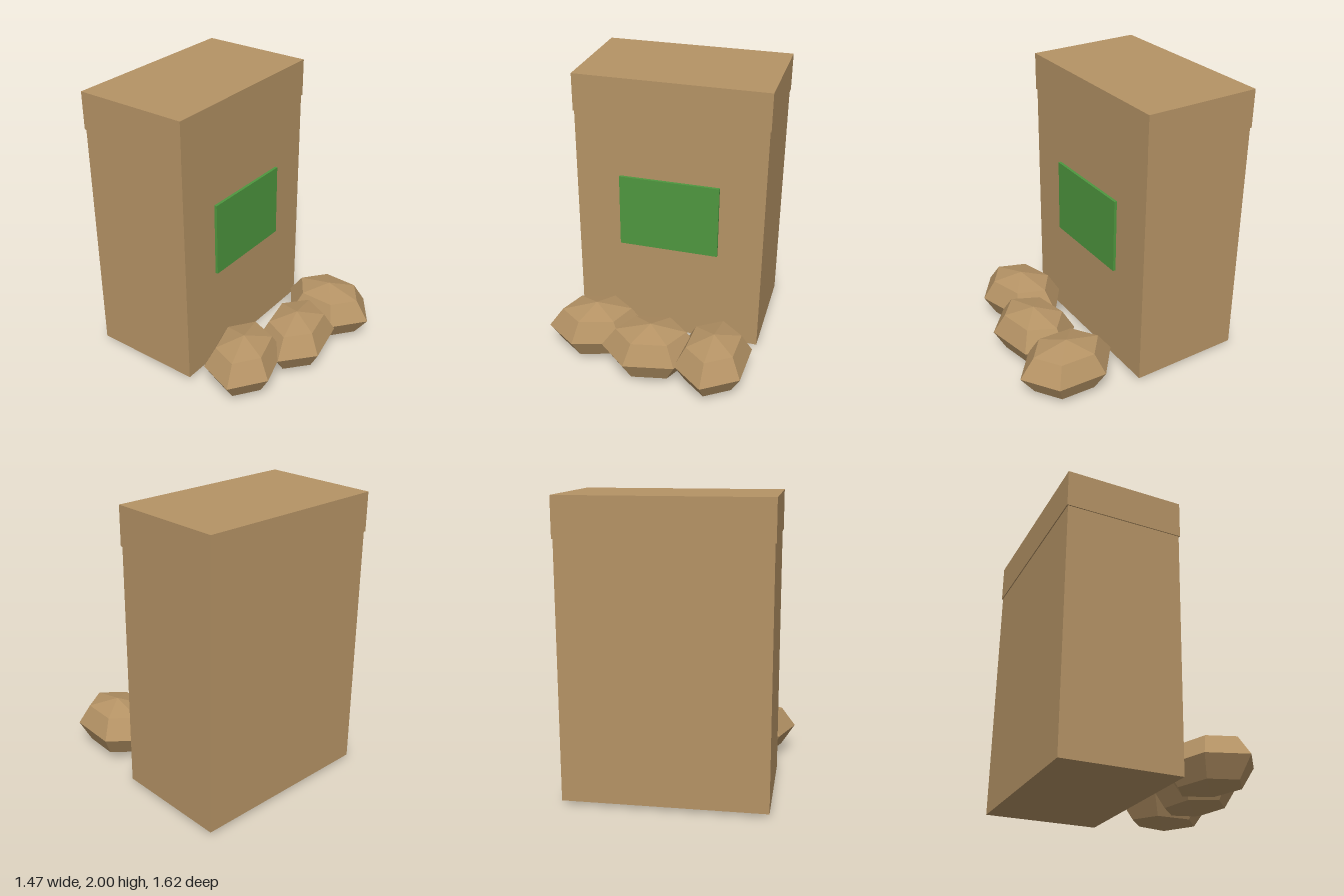
import * as THREE from 'three';

export function createModel() {
  const group = new THREE.Group();
  const tan = new THREE.MeshStandardMaterial({ color: 0xb59365, flatShading: true });
  tan.name = 'tan';
  const green = new THREE.MeshStandardMaterial({ color: 0x4e973f, flatShading: true });
  green.name = 'green';

  const add = (name, geometry, material, x, y, z) => {
    const mesh = new THREE.Mesh(geometry, material);
    mesh.name = name;
    mesh.position.set(x, y, z);
    group.add(mesh);
    return mesh;
  };

  // Bag with folded top and front label
  add('bagBody', new THREE.BoxGeometry(1.35, 1.71, 0.81), tan, 0.045, 0.885, -0.4);
  add('foldedTop', new THREE.BoxGeometry(1.364, 0.265, 0.824), tan, 0.045, 1.8675, -0.4);
  add('label', new THREE.BoxGeometry(0.715, 0.535, 0.04), green, 0.045, 1.0175, 0.005);

  // Faceted lumps on the floor: x, z, turn about y
  const lump = new THREE.SphereGeometry(1, 6, 4).scale(0.35, 0.2, 0.268);
  [
    [-0.403, 0.317, 0.293],
    [0.045, 0.46, 0.2],
    [0.495, 0.458, 1.528],
  ].forEach(([x, z, turn], i) => {
    add(`lump${i + 1}`, lump, tan, x, 0.205, z).rotation.y = turn;
  });

  return group;
}
